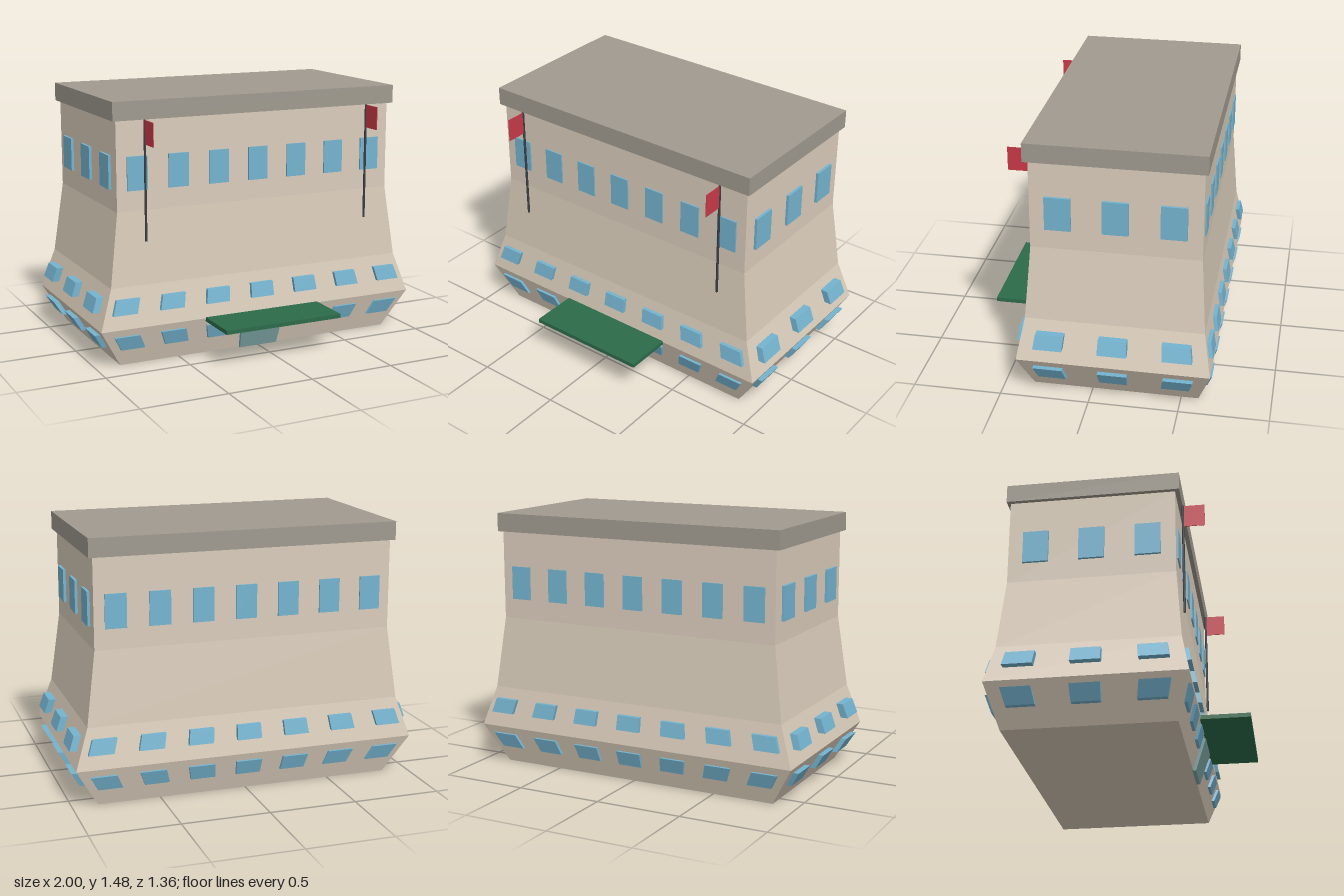
import * as THREE from 'three';

const CZ = -0.13; // depth centre of the building
// wall profile: height, half width, half depth
const RINGS = [
  [0, 0.855, 0.466], [0.225, 0.986, 0.538], [0.455, 0.91, 0.496],
  [0.87, 0.855, 0.466], [1.38, 0.855, 0.466],
];

// half width (axis 1) or half depth (axis 2) of the walls at height y
function half(y, axis) {
  let i = 0;
  while (i < RINGS.length - 2 && y > RINGS[i + 1][0]) i++;
  const a = RINGS[i], b = RINGS[i + 1];
  return THREE.MathUtils.lerp(a[axis], b[axis], (y - a[0]) / (b[0] - a[0]));
}

const mat = (color) => new THREE.MeshStandardMaterial({ color });

// moves every vertex of a geometry by a rule and gives it flat faces
function reshape(geometry, rule) {
  const p = geometry.attributes.position;
  for (let i = 0; i < p.count; i++) p.setXYZ(i, ...rule(p.getX(i), p.getY(i), p.getZ(i)));
  const flat = geometry.toNonIndexed();
  flat.computeVertexNormals();
  return flat;
}

// slab following the wall slope; side 0 = front, 1 = left, 2 = back, 3 = right
function wallPanel(side, centre, width, y0, y1, inner, outer) {
  const along = side % 2 ? 2 : 1, out = side % 2 ? 1 : 2;
  const mid = half((y0 + y1) / 2, along);
  const g = reshape(new THREE.BoxGeometry(1, 1, 1), (u, v, w) => {
    const y = v < 0 ? y0 : y1;
    return [(centre + u * width) * half(y, along) / mid, y, half(y, out) * (w < 0 ? inner : outer)];
  });
  return g.rotateY(side * Math.PI / 2).translate(0, 0, CZ);
}

export function createModel() {
  const model = new THREE.Group();
  const add = (name, geometry, material, parent = model) => {
    const mesh = new THREE.Mesh(geometry, material);
    mesh.name = name;
    parent.add(mesh);
    return mesh;
  };
  const box = (name, size, pos, material, parent) =>
    add(name, new THREE.BoxGeometry(...size), material, parent).position.set(...pos);

  // flared walls
  const walls = reshape(new THREE.BoxGeometry(2, 4, 2, 1, 4, 1), (x, y, z) => {
    const [h, hx, hz] = RINGS[Math.round(y + 2)];
    return [x * hx, h, z * hz + CZ];
  });
  add('walls', walls, mat(0xd9ccba));

  // overhanging roof slab
  box('roof', [1.76, 0.105, 0.976], [0, 1.4275, -0.127], mat(0xa09a8f));

  // three rows of windows round all four sides
  const glass = mat(0x74b4d0);
  const rows = [
    { name: 'lowerWindows', y: [0.10, 0.183], scale: [0.995, 1.033], long: [0.271, 0.145], short: [0.353, 0.16] },
    { name: 'middleWindows', y: [0.31, 0.392], scale: [1.0, 1.044], long: [0.278, 0.14], short: [0.353, 0.16] },
    { name: 'upperWindows', y: [0.985, 1.175], scale: [0.99, 1.018], long: [0.245, 0.12], short: [0.312, 0.143] },
  ];
  for (const row of rows) {
    const group = new THREE.Group();
    group.name = row.name;
    model.add(group);
    for (let side = 0; side < 4; side++) {
      const [step, width] = side % 2 ? row.short : row.long;
      const n = side % 2 ? 1 : 3;
      for (let i = -n; i <= n; i++) {
        add('window', wallPanel(side, i * step, width, ...row.y, ...row.scale), glass, group);
      }
    }
  }

  // entrance
  add('door', wallPanel(0, 0, 0.25, 0, 0.183, 0.99, 1.036), mat(0x7fa8a6));
  box('canopy', [0.72, 0.024, 0.28], [0, 0.219, 0.542], mat(0x2c6b4a));

  // flagpoles with flags
  const poleMat = mat(0x3a3f45), flagMat = mat(0xc93a48);
  for (const s of [-1, 1]) {
    const group = new THREE.Group();
    group.name = s > 0 ? 'leftFlagpole' : 'rightFlagpole';
    model.add(group);
    add('pole', new THREE.CylinderGeometry(0.007, 0.007, 0.675, 8), poleMat, group)
      .position.set(s * 0.697, 1.0375, 0.362);
    box('flag', [0.004, 0.133, 0.12], [s * 0.697, 1.307, 0.425], flagMat, group);
  }
  return model;
}
